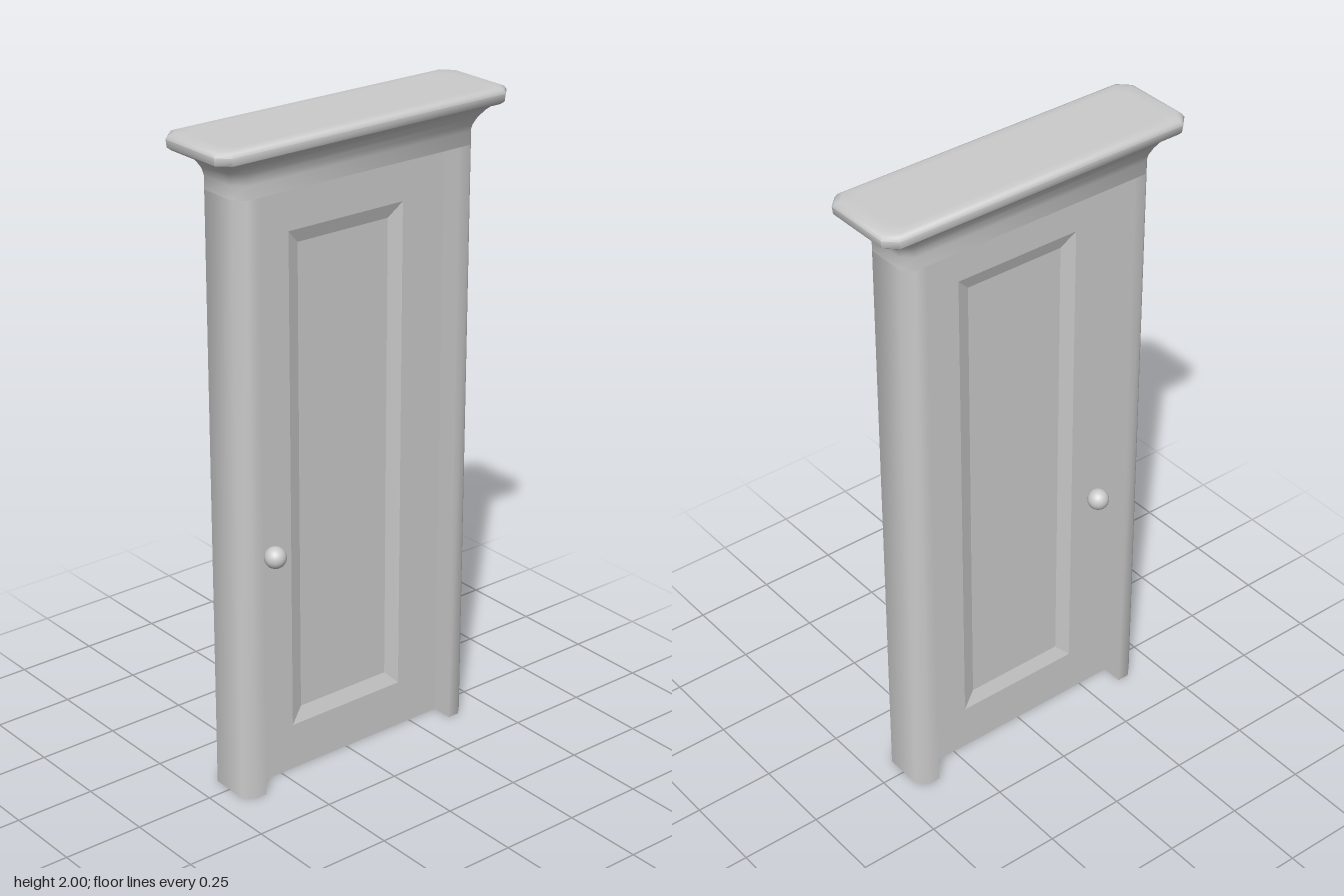
import * as THREE from 'three';
import { toCreasedNormals } from 'three/addons/utils/BufferGeometryUtils.js';

const material = new THREE.MeshStandardMaterial({ color: 0xcccccc });
const V = (x, y, z) => new THREE.Vector3(x, y, z);

// Skin a series of equal-length loops and close both ends with a fan.
function loft(loops, crease) {
  const pos = [];
  const tri = (...pts) => pts.forEach((p) => pos.push(p.x, p.y, p.z));
  const n = loops[0].length;
  for (let k = 0; k < loops.length - 1; k++) {
    for (let i = 0; i < n; i++) {
      const j = (i + 1) % n;
      const [a, b] = [loops[k][i], loops[k][j]];
      const [c, d] = [loops[k + 1][j], loops[k + 1][i]];
      tri(a, b, c);
      tri(a, c, d);
    }
  }
  const first = loops[0];
  const last = loops[loops.length - 1];
  for (let i = 1; i < n - 1; i++) {
    tri(first[0], first[i + 1], first[i]);
    tri(last[0], last[i], last[i + 1]);
  }
  const geometry = new THREE.BufferGeometry();
  geometry.setAttribute('position', new THREE.Float32BufferAttribute(pos, 3));
  return toCreasedNormals(geometry, crease);
}

// Horizontal rectangle with cut corners.
function octagon(y, hx, hz, c) {
  return [
    V(hx, y, hz - c), V(hx, y, c - hz), V(hx - c, y, -hz), V(c - hx, y, -hz),
    V(-hx, y, c - hz), V(-hx, y, hz - c), V(c - hx, y, hz), V(hx - c, y, hz),
  ];
}

// Upright rectangle facing along x.
const panel = (x, y0, y1, hz) => [V(x, y0, hz), V(x, y0, -hz), V(x, y1, -hz), V(x, y1, hz)];

export function createModel() {
  const group = new THREE.Group();
  const add = (name, geometry) => {
    const mesh = new THREE.Mesh(geometry, material);
    mesh.name = name;
    group.add(mesh);
    return mesh;
  };

  const W = 0.09, D = 0.425, C = 0.03; // frame half width, half depth, corner cut
  const IN = 0.357, TOP = 1.84;        // door opening

  // Door posts with cut outer corners
  const foot = (y) => [
    V(W, y, IN), V(-W, y, IN), V(-W, y, D - C), V(C - W, y, D), V(W - C, y, D), V(W, y, D - C),
  ];
  const post = loft([foot(0), foot(TOP)], 0.9);
  add('frontPost', post);
  add('backPost', post).rotation.y = Math.PI;

  // Lintel that flares out under the cornice: y, half width, half depth, corner cut
  add('lintel', loft([
    [TOP, W, D, C],
    [1.88, W, D, C],
    [1.9, 0.093, 0.43, C],
    [1.92, 0.1, 0.442, C],
    [1.94, 0.11, 0.462, C],
    [1.958, 0.124, 0.488, C],
  ].map((r) => octagon(...r)), 0.9));

  // Cornice slab with rounded edges
  add('cornice', loft([
    [1.955, 0.105, 0.47, 0.03],
    [1.955, 0.132, 0.502, 0.033],
    [1.963, 0.14, 0.511, 0.034],
    [1.985, 0.142, 0.513, 0.034],
    [1.995, 0.137, 0.508, 0.034],
    [2.0, 0.126, 0.497, 0.033],
    [2.0, 0.105, 0.46, 0.03],
  ].map((r) => octagon(...r)), 0.9));

  // Door leaf with a sunken bevelled panel on both faces
  const T = 0.023, S = 0.008;
  add('door', loft([
    panel(-S, 0.192, 1.652, 0.162),
    panel(-T, 0.148, 1.696, 0.205),
    panel(-T, 0, TOP, IN),
    panel(T, 0, TOP, IN),
    panel(T, 0.148, 1.696, 0.205),
    panel(S, 0.192, 1.652, 0.162),
  ], 0.1));

  // Round knobs on both faces
  for (const side of [1, -1]) {
    const knob = add(side > 0 ? 'leftKnob' : 'rightKnob', new THREE.SphereGeometry(0.033, 24, 16));
    knob.position.set(side * 0.052, 0.74, 0.285);
  }
  return group;
}
